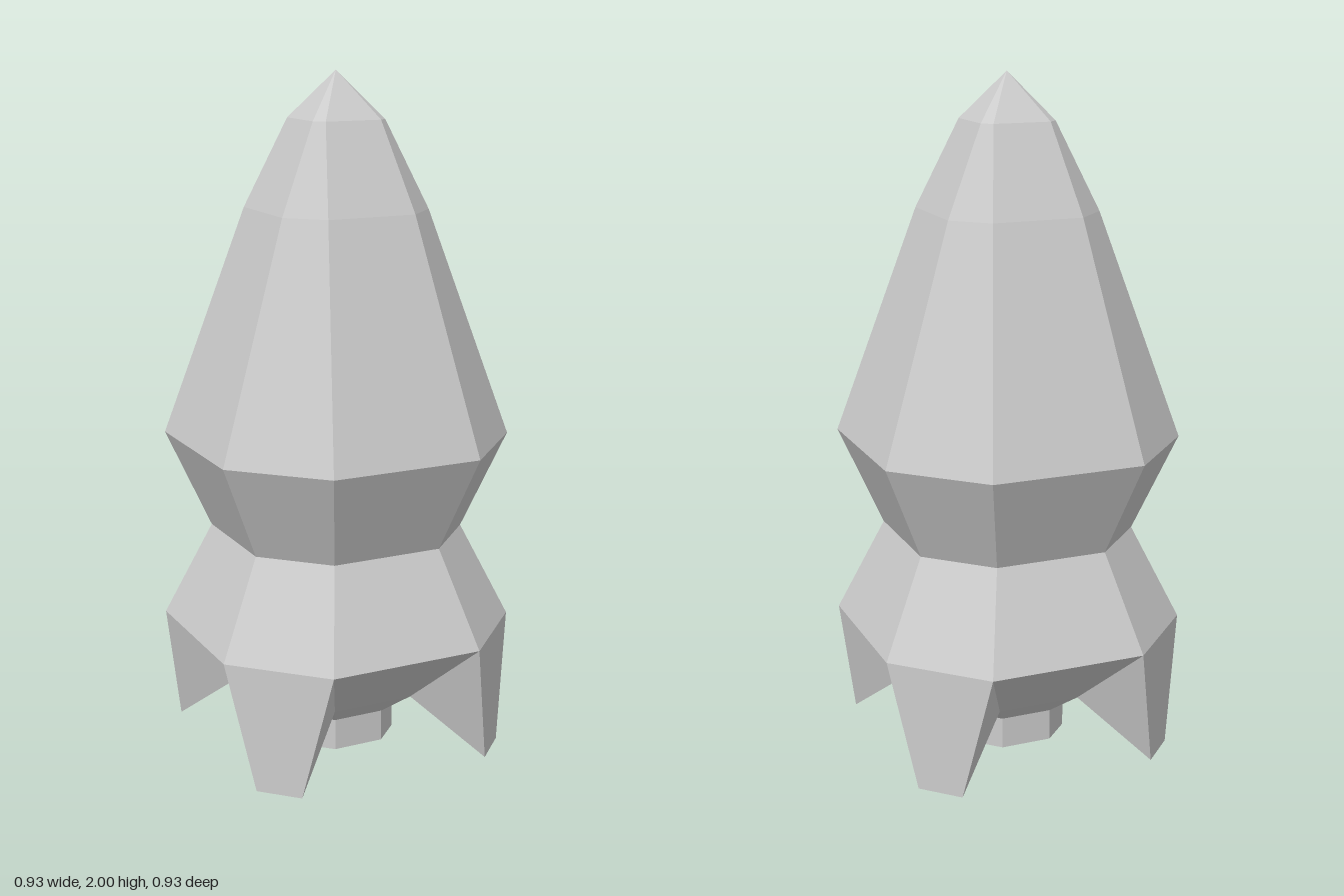
import * as THREE from 'three';

const material = new THREE.MeshStandardMaterial({ color: 0xcccccc, flatShading: true });

// Eight-cornered ring: a = distance of the flat sides, b = half width of a flat side
function ring(y, a, b = a / 2) {
  return [[-b, a], [b, a], [a, b], [a, -b], [b, -a], [-b, -a], [-a, -b], [-a, b]]
    .map(([x, z]) => new THREE.Vector3(x, y, z));
}

// Flat-shaded mesh from convex polygons with corners counter-clockwise from outside
function facets(name, polygons) {
  const points = [];
  for (const p of polygons) {
    for (let i = 1; i < p.length - 1; i++) points.push(p[0], p[i], p[i + 1]);
  }
  const geometry = new THREE.BufferGeometry().setFromPoints(points);
  geometry.computeVertexNormals();
  const mesh = new THREE.Mesh(geometry, material);
  mesh.name = name;
  return mesh;
}

// Side faces between a lower and an upper ring; step 2 keeps only the flat sides
function band(lower, upper, step = 1) {
  const faces = [];
  for (let i = 0; i < 8; i += step) {
    const j = (i + 1) % 8;
    faces.push([lower[i], lower[j], upper[j], upper[i]]);
  }
  return faces;
}

export function createModel() {
  const group = new THREE.Group();

  const nozzleEnd = ring(0, 0.155);
  const nozzleTop = ring(0.095, 0.155);
  const foot = ring(0, 0.398, 0.3);
  const belly = ring(0.17, 0.25, 0.125);
  const skirt = ring(0.375, 0.465);
  const waist = ring(0.655, 0.335);
  const shoulder = ring(0.943, 0.455);
  const upper = ring(1.61, 0.23, 0.135);
  const neck = ring(1.865, 0.113, 0.086);
  const tip = new THREE.Vector3(0, 2, 0);

  // Hull, from the nose downwards
  group.add(facets('noseTip', neck.map((p, i) => [p, neck[(i + 1) % 8], tip])));
  group.add(facets('upperHull', [...band(upper, neck), ...band(shoulder, upper)]));
  group.add(facets('waist', band(waist, shoulder)));
  group.add(facets('skirt', band(skirt, waist)));
  group.add(facets('underside', [...band(belly, skirt, 2), ...band(nozzleTop, belly)]));

  // Engine nozzle with closed end
  group.add(facets('nozzle', [...band(nozzleEnd, nozzleTop), [...nozzleEnd].reverse()]));

  // Four fins on the diagonals, growing out of the skirt
  for (let i = 1; i < 8; i += 2) {
    const j = (i + 1) % 8;
    group.add(facets('fin', [
      [foot[i], foot[j], skirt[j], skirt[i]],
      [belly[i], foot[i], skirt[i]],
      [foot[j], belly[j], skirt[j]],
      [foot[j], foot[i], belly[i], belly[j]],
    ]));
  }
  return group;
}
